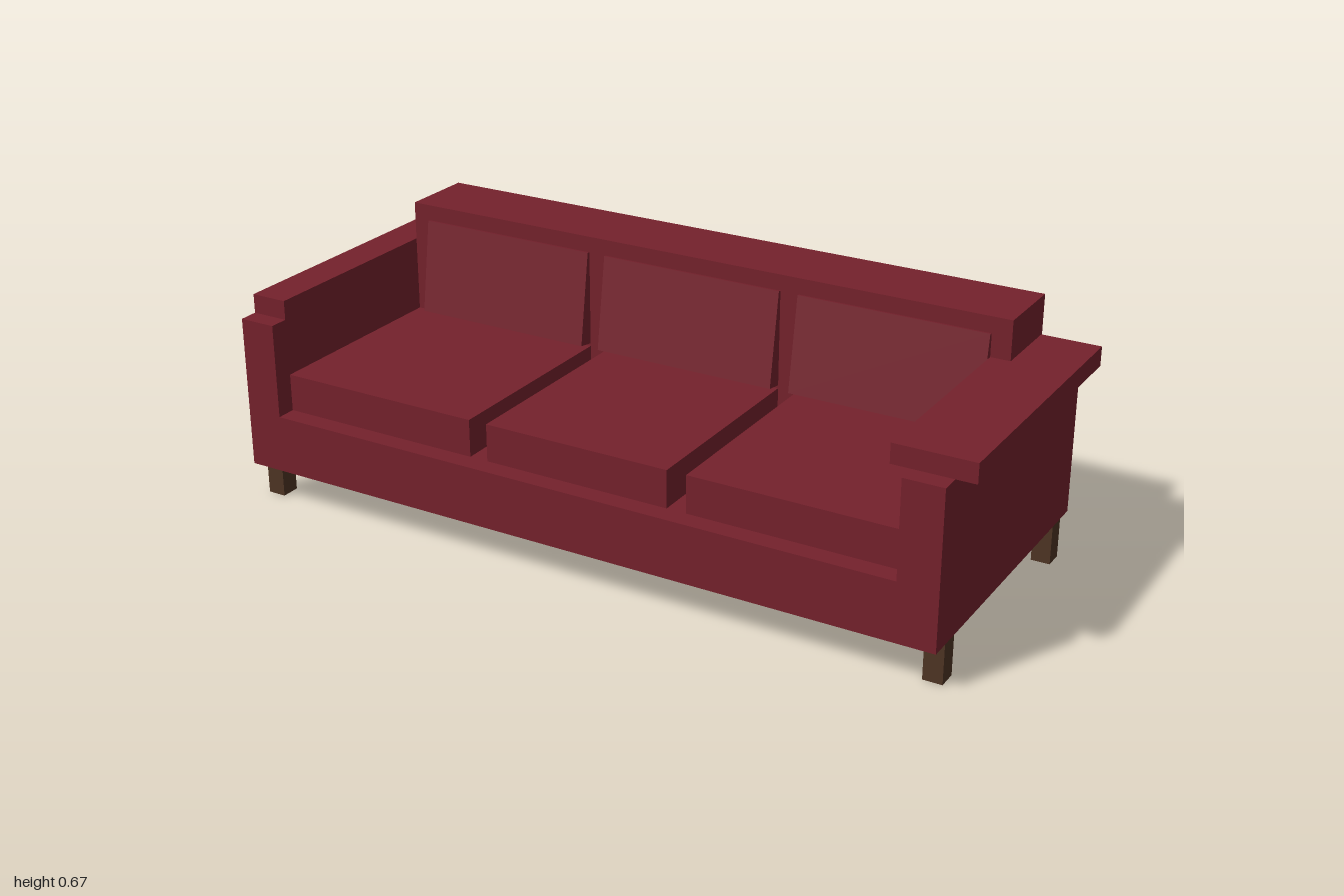
import * as THREE from 'three';

export function createModel() {
  const sofa = new THREE.Group();
  sofa.name = 'sofa';
  const fabric = new THREE.MeshStandardMaterial({ color: 0x75212c });
  fabric.name = 'red fabric';
  const wood = new THREE.MeshStandardMaterial({ color: 0x4e3423 });
  wood.name = 'brown wood';

  // Box given by its lower and upper limits on each axis
  function block(name, material, [x0, x1], [y0, y1], [z0, z1]) {
    const mesh = new THREE.Mesh(new THREE.BoxGeometry(x1 - x0, y1 - y0, z1 - z0), material);
    mesh.position.set((x0 + x1) / 2, (y0 + y1) / 2, (z0 + z1) / 2);
    mesh.name = name;
    sofa.add(mesh);
    return mesh;
  }

  // Frame: U-shaped section joining the base and both arms
  const section = new THREE.Shape([
    [-1, 0.105], [0.948, 0.105], [0.948, 0.513], [0.845, 0.513],
    [0.845, 0.26], [-0.9, 0.26], [-0.9, 0.513], [-1, 0.513],
  ].map(([x, y]) => new THREE.Vector2(x, y)));
  const frame = new THREE.Mesh(
    new THREE.ExtrudeGeometry(section, { depth: 0.82, bevelEnabled: false }), fabric);
  frame.position.z = -0.41;
  frame.name = 'frame';
  sofa.add(frame);

  block('backrest', fabric, [-0.9, 0.845], [0.26, 0.668], [-0.41, -0.205]);

  // Arm pads; the left one is wider and overhangs its arm
  block('rightArmPad', fabric, [-1, -0.9], [0.513, 0.564], [-0.41, 0.359]);
  block('leftArmPad', fabric, [0.793, 1], [0.513, 0.564], [-0.405, 0.359]);

  // Seat cushions
  const seats = [[-0.9, -0.335], [-0.284, 0.229], [0.281, 0.845]];
  for (const span of seats) block('seatCushion', fabric, span, [0.26, 0.36], [-0.205, 0.357]);

  // Back cushions, leaning into the backrest
  const backs = [[-0.85, -0.335], [-0.284, 0.229], [0.281, 0.793]];
  const lean = 0.148, height = 0.254, depth = 0.1;
  for (const [x0, x1] of backs) {
    const geometry = new THREE.BoxGeometry(x1 - x0, height, depth);
    geometry.translate(0, height / 2, -depth / 2);
    const cushion = new THREE.Mesh(geometry, fabric);
    cushion.position.set((x0 + x1) / 2, 0.375, -0.159);
    cushion.rotation.x = -lean;
    cushion.name = 'backCushion';
    sofa.add(cushion);
  }

  // Legs
  for (const x of [[-1, -0.95], [0.898, 0.948]]) {
    for (const z of [[0.308, 0.359], [-0.359, -0.308]]) block('leg', wood, x, [0, 0.105], z);
  }
  return sofa;
}
